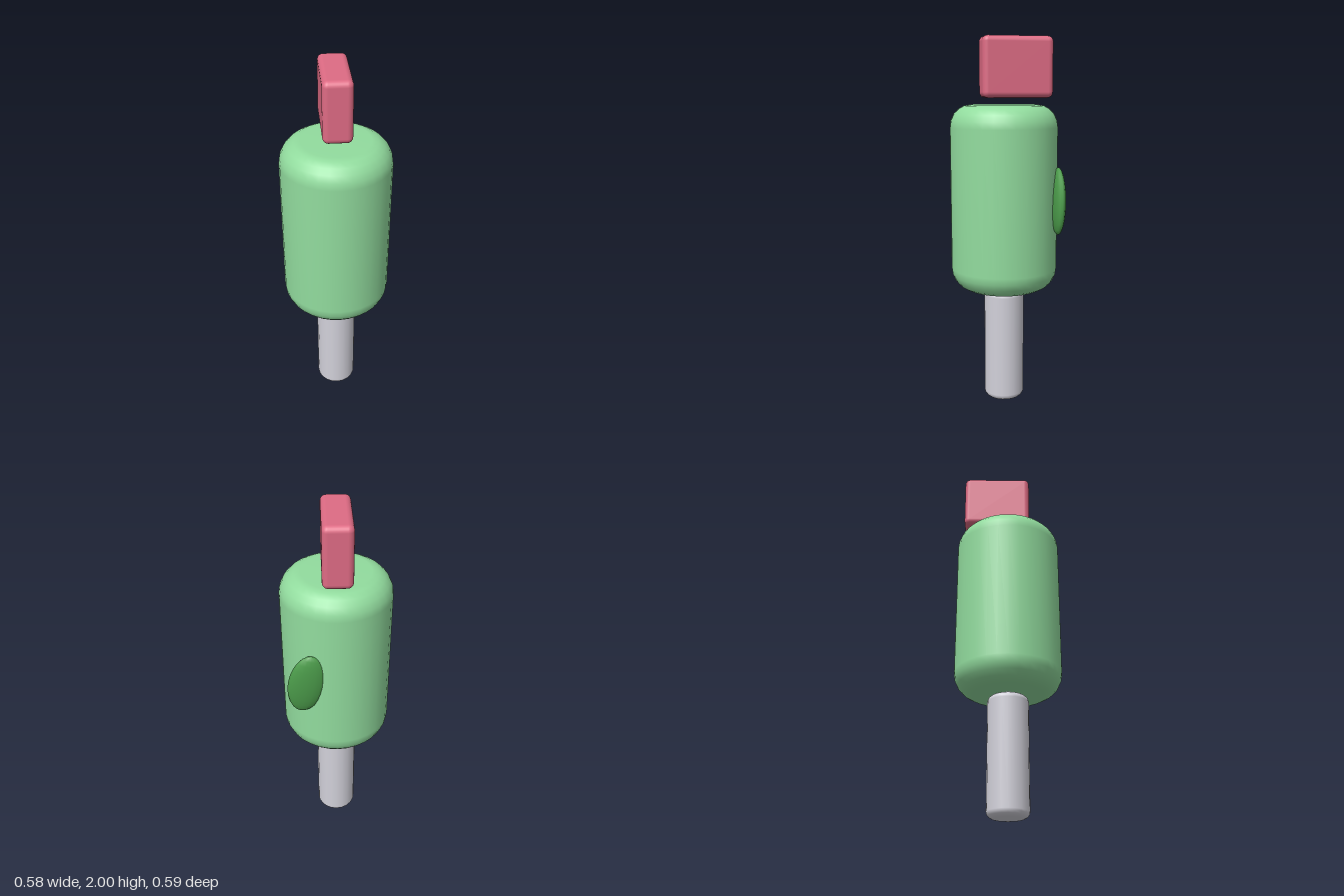
import * as THREE from 'three';
import { RoundedBoxGeometry } from 'three/addons/geometries/RoundedBoxGeometry.js';

const mat = (name, color) => new THREE.MeshStandardMaterial({ name, color });

// Upright cylinder with rounded rims
function roundedCylinder(radius, bottom, top, rimX, rimY, sides) {
  const points = [new THREE.Vector2(0, bottom)];
  const steps = 5;
  for (let i = 0; i <= steps; i++) {
    const a = (i / steps) * Math.PI / 2;
    points.push(new THREE.Vector2(radius - rimX * (1 - Math.sin(a)), bottom + rimY * (1 - Math.cos(a))));
  }
  for (let i = steps; i >= 0; i--) {
    const a = (i / steps) * Math.PI / 2;
    points.push(new THREE.Vector2(radius - rimX * (1 - Math.sin(a)), top - rimY * (1 - Math.cos(a))));
  }
  points.push(new THREE.Vector2(0, top));
  return new THREE.LatheGeometry(points, sides);
}

export function createModel() {
  const group = new THREE.Group();
  const add = (name, geometry, material) => {
    const mesh = new THREE.Mesh(geometry, material);
    mesh.name = name;
    group.add(mesh);
    return mesh;
  };

  // Stick and body
  add('stick', roundedCylinder(0.11, 0, 0.635, 0.04, 0.035, 20), mat('pale grey', 0xd2d1da));
  add('body', roundedCylinder(0.29, 0.64, 1.645, 0.11, 0.12, 32), mat('light green', 0x92dc9e));

  // Floating block above the body
  const block = add('topBlock', new RoundedBoxGeometry(0.15, 0.32, 0.38, 3, 0.03), mat('rose', 0xde6b84));
  block.position.set(0, 1.84, -0.065);

  // Flattened oval leaf on the back
  const leaf = add('leaf', new THREE.SphereGeometry(1, 16, 12), mat('leaf green', 0x4b9b4a));
  leaf.scale.set(0.095, 0.18, 0.035);
  leaf.position.set(0.16, 1.14, -0.26);
  leaf.rotation.set(-0.04, 0, 0.18);

  return group;
}
